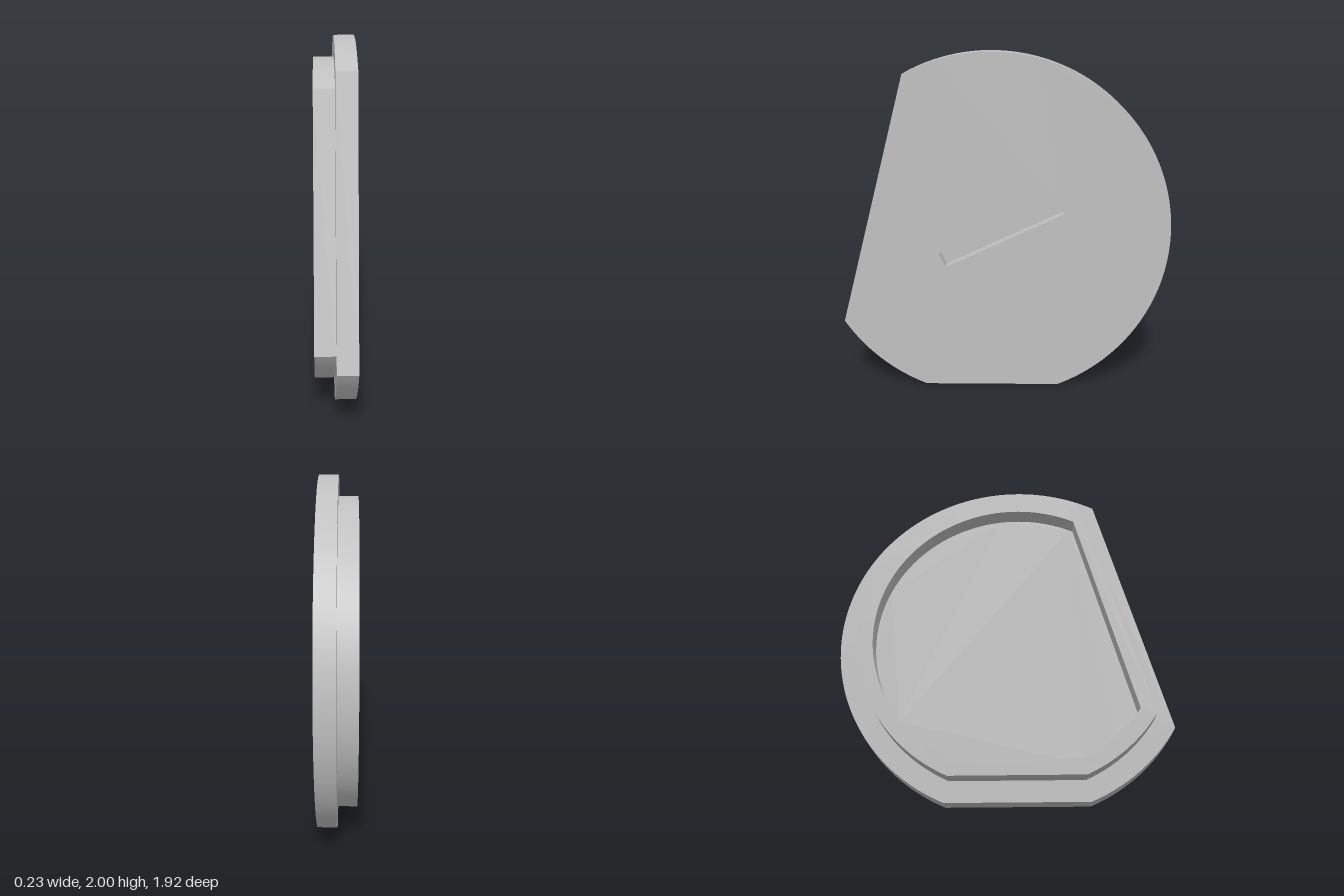
import * as THREE from 'three';
import { toCreasedNormals } from 'three/addons/utils/BufferGeometryUtils.js';

// Profiles are drawn in (u, v) = (-z, y) and stacked along x.
const CU = -0.08, CV = 0.96;

// Circle of radius r cut by a slanted chord (distance d) and a bottom chord (distance b).
function outline(r, d, b, steps = 48) {
  const slant = THREE.MathUtils.degToRad(165), bottom = Math.PI * 1.5;
  const hs = Math.acos(d / r), hb = Math.acos(b / r);
  const pts = [];
  const arc = (a0, a1, n) => {
    for (let i = 0; i <= n; i++) {
      const a = a0 + (a1 - a0) * i / n;
      pts.push(new THREE.Vector2(CU + r * Math.cos(a), CV + r * Math.sin(a)));
    }
  };
  arc(slant + hs, bottom - hb, 14);
  arc(bottom + hb, slant - hs + Math.PI * 2, steps * 2);
  return pts;
}

// Rotated rectangle for the slot.
function slotOutline(u, v, length, width, angle) {
  const c = new THREE.Vector2(u, v);
  return [[-1, -1], [1, -1], [1, 1], [-1, 1]].map(([a, b]) =>
    new THREE.Vector2(u + a * length / 2, v + b * width / 2).rotateAround(c, angle));
}

export function createModel() {
  const group = new THREE.Group();
  const grey = new THREE.MeshStandardMaterial({ color: 0xc0c0c0 });
  grey.name = 'grey';

  const add = (name, geo) => {
    const mesh = new THREE.Mesh(geo, grey);
    mesh.name = name;
    group.add(mesh);
  };

  // Flat face at x, facing +x or -x, with an optional hole.
  const face = (name, pts, x, facing, hole) => {
    const shape = new THREE.Shape(pts);
    if (hole) shape.holes.push(new THREE.Path(hole));
    const geo = new THREE.ShapeGeometry(shape);
    if (facing < 0) {
      const ix = geo.index.array;
      for (let i = 0; i < ix.length; i += 3) [ix[i], ix[i + 1]] = [ix[i + 1], ix[i]];
      geo.computeVertexNormals();
    }
    add(name, geo.rotateY(Math.PI / 2).translate(x, 0, 0));
  };

  // Wall along a closed profile, facing outward, or inward for a recess.
  const wall = (name, pts, x0, x1, inward = false) => {
    const pos = [];
    pts.forEach((p, i) => {
      let a = p, b = pts[(i + 1) % pts.length];
      if (inward) [a, b] = [b, a];
      for (const [q, x] of [[a, x0], [b, x0], [b, x1], [a, x0], [b, x1], [a, x1]]) pos.push(x, q.y, -q.x);
    });
    const geo = new THREE.BufferGeometry();
    geo.setAttribute('position', new THREE.Float32BufferAttribute(pos, 3));
    add(name, toCreasedNormals(geo, 0.4));
  };

  const plate = outline(1.04, 0.712, 0.96);
  const rim = outline(0.92, 0.616, 0.84);
  const recess = outline(0.83, 0.54, 0.75);
  const slot = slotOutline(-0.025, 0.9625, 0.763, 0.098, THREE.MathUtils.degToRad(25.2));
  const T = 0.113, slotFloor = 0.047;

  // Plate with its slot
  wall('plateEdge', plate, 0, T);
  face('plateOuterFace', plate, T, 1, slot);
  face('plateLedge', plate, 0, -1, rim);
  wall('slotWall', slot, slotFloor, T, true);
  face('slotFloor', slot, slotFloor, 1);

  // Raised rim around the recess
  wall('rimOuterWall', rim, -T, 0);
  face('rimEnd', rim, -T, -1, recess);
  wall('rimInnerWall', recess, -T, 0, true);
  face('recessFloor', recess, 0, -1);

  return group;
}
